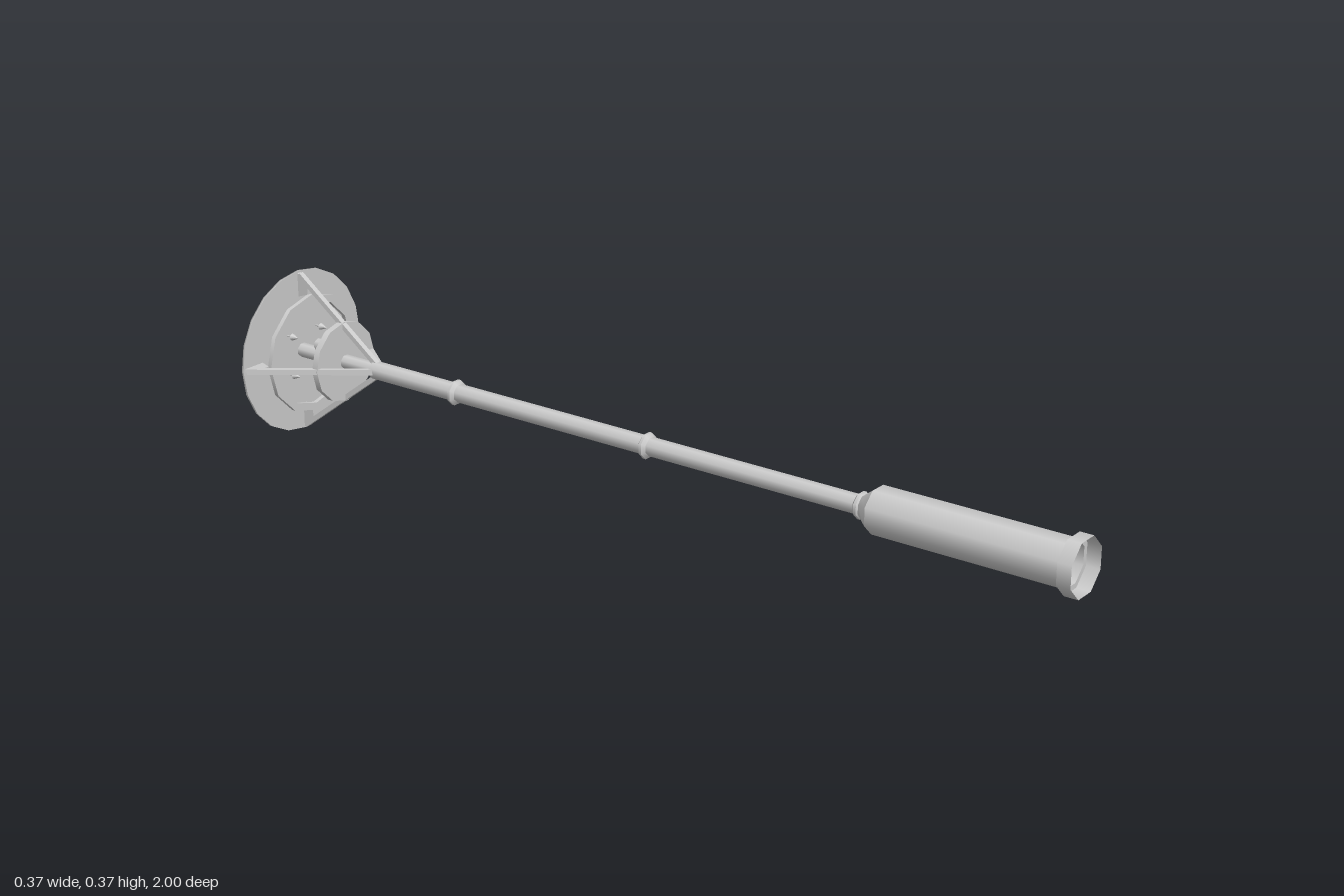
import * as THREE from 'three';

export function createModel() {
  const grey = new THREE.MeshStandardMaterial({ color: 0xcccccc, side: THREE.DoubleSide });
  grey.name = 'lightGreyMetal';

  const model = new THREE.Group();
  model.name = 'streetLamp';
  // The lamp is built upright along +y (from -1 to 1) and then laid on its back.
  const lamp = new THREE.Group();
  lamp.name = 'lamp';
  lamp.rotation.x = -Math.PI / 2;
  lamp.position.y = 0.187;
  model.add(lamp);

  function add(name, geometry, parent = lamp) {
    const mesh = new THREE.Mesh(geometry, grey);
    mesh.name = name;
    parent.add(mesh);
    return mesh;
  }

  // A round section from height h0 (radius r0) to h1 (radius r1).
  function section(name, h0, r0, h1, r1, sides = 8, open = true, turn = Math.PI / 8) {
    const g = new THREE.CylinderGeometry(r1, r0, h1 - h0, sides, 1, open, turn);
    return add(name, g.translate(0, (h0 + h1) / 2, 0));
  }

  // Flat ring facing along the pole.
  function flatRing(name, h, inner, outer, sides, turn = 0) {
    const g = new THREE.RingGeometry(inner, outer, sides, 1, turn);
    return add(name, g.rotateX(-Math.PI / 2).translate(0, h, 0));
  }

  // Hollow base with a foot collar and a tapered shoulder
  section('footCollar', -1, 0.061, -0.97, 0.061);
  flatRing('footStep', -0.97, 0.049, 0.061, 8, Math.PI / 8);
  section('baseShaft', -0.97, 0.049, -0.55, 0.049);
  section('baseShoulder', -0.55, 0.049, -0.52, 0.024);

  // Pole with three bulging collars
  section('pole', -0.52, 0.02, 0.745, 0.02);
  section('innerStem', 0.745, 0.016, 0.965, 0.016);
  flatRing('poleShoulder', 0.745, 0.016, 0.02, 8, Math.PI / 8);
  for (const h of [-0.515, 0, 0.51]) {
    section('collarLower', h - 0.009, 0.02, h - 0.003, 0.028);
    section('collarBand', h - 0.003, 0.028, h + 0.003, 0.028);
    section('collarUpper', h + 0.003, 0.028, h + 0.009, 0.02);
  }

  // Lamp tray and upper reflector ring
  section('lampTray', 0.83, 0.091, 0.845, 0.091, 12, false, 0);
  section('ringOuter', 0.925, 0.135, 0.935, 0.135, 12, true, 0);
  section('ringInner', 0.925, 0.118, 0.935, 0.118, 12, true, 0);
  flatRing('ringBottom', 0.925, 0.118, 0.135, 12);
  flatRing('ringTop', 0.935, 0.118, 0.135, 12);

  // Shallow domed roof with a flat underside
  const dome = [new THREE.Vector2(0.184, 0.96)];
  for (let i = 0; i <= 8; i++) {
    const r = 0.184 * (1 - i / 8);
    dome.push(new THREE.Vector2(r, 0.965 + 0.035 * (1 - (r / 0.184) ** 2)));
  }
  add('roofDome', new THREE.LatheGeometry(dome, 20));
  add('roofUnderside', new THREE.CircleGeometry(0.184, 20).rotateX(Math.PI / 2).translate(0, 0.96, 0));

  // Four slanted struts, each with a gusset under the roof
  const from = new THREE.Vector2(0.014, 0.738);
  const to = new THREE.Vector2(0.176, 0.957);
  const gusset = new THREE.Shape([
    new THREE.Vector2(0.125, 0.96), new THREE.Vector2(0.135, 0.932),
    new THREE.Vector2(0.16, 0.932), new THREE.Vector2(0.179, 0.96),
  ]);
  for (let k = 0; k < 4; k++) {
    const arm = new THREE.Group();
    arm.name = 'roofSupport';
    arm.rotation.y = k * Math.PI / 2;
    lamp.add(arm);
    const strut = add('strut', new THREE.BoxGeometry(0.011, from.distanceTo(to), 0.012), arm);
    strut.position.set((from.x + to.x) / 2, (from.y + to.y) / 2, 0);
    strut.rotation.z = -Math.atan2(to.x - from.x, to.y - from.y);
    const g = new THREE.ExtrudeGeometry(gusset, { depth: 0.01, bevelEnabled: false });
    add('gusset', g.translate(0, 0, -0.005), arm);
  }

  // Four lamp sockets on the tray and small pins near the roof
  for (const x of [-0.045, 0.045]) {
    for (const z of [-0.045, 0.045]) {
      add('socket', new THREE.CylinderGeometry(0.014, 0.014, 0.022, 8)).position.set(x, 0.856, z);
      add('pin', new THREE.ConeGeometry(0.008, 0.018, 8).rotateX(Math.PI)).position.set(x, 0.936, z);
      add('pinStem', new THREE.CylinderGeometry(0.002, 0.002, 0.018, 6)).position.set(x, 0.952, z);
    }
  }

  return model;
}
